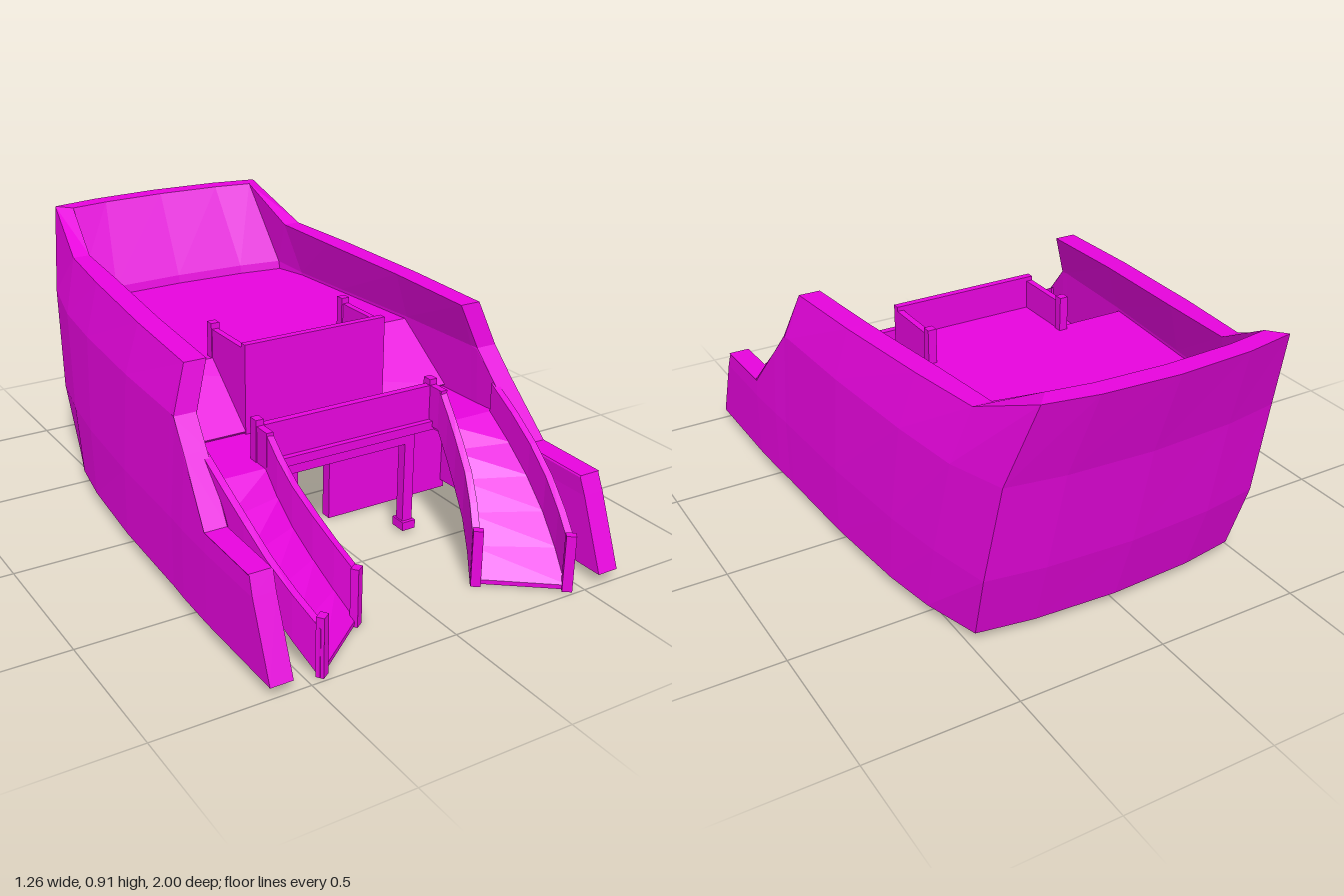
import * as THREE from 'three';

const paint = new THREE.MeshStandardMaterial({ color: 0xea04e0, side: THREE.DoubleSide, flatShading: true });
paint.name = 'magenta';

// Skin a row of equal closed cross-sections and cap both ends.
function loft(rings) {
  const pos = [], n = rings[0].length;
  const quad = (a, b, c, d) => pos.push(...a, ...b, ...c, ...a, ...c, ...d);
  for (let k = 0; k < rings.length - 1; k++)
    for (let i = 0; i < n; i++) {
      const j = (i + 1) % n;
      quad(rings[k][i], rings[k][j], rings[k + 1][j], rings[k + 1][i]);
    }
  const first = rings[0], last = rings[rings.length - 1];
  for (let i = 0; i < n / 2 - 1; i++) {
    const o = n - 1 - i;
    quad(first[i], first[o], first[o - 1], first[i + 1]);
    quad(last[i], last[i + 1], last[o - 1], last[o]);
  }
  // Turn the faces outward if the enclosed volume is negative.
  let volume = 0;
  const v = (i) => new THREE.Vector3(pos[i], pos[i + 1], pos[i + 2]);
  for (let i = 0; i < pos.length; i += 9) volume += v(i).dot(v(i + 3).cross(v(i + 6)));
  if (volume < 0)
    for (let i = 0; i < pos.length; i += 9)
      for (let k = 3; k < 6; k++) [pos[i + k], pos[i + k + 3]] = [pos[i + k + 3], pos[i + k]];
  const g = new THREE.BufferGeometry();
  g.setAttribute('position', new THREE.Float32BufferAttribute(pos, 3));
  g.computeVertexNormals();
  return g;
}

// Hull: U-shaped wall from one bow-side end, round the stern, to the other.
function hullGeometry() {
  // z at the rail, rail height, half width low down, half width at the rail, forward lean
  const stations = [
    [0.88, 0.33, 0.632, 0.632, 0.4], [0.62, 0.335, 0.63, 0.63, 0], [0.46, 0.51, 0.624, 0.608, 0],
    [0.38, 0.6, 0.618, 0.6, 0], [0.35, 0.75, 0.617, 0.547, 0], [0, 0.765, 0.602, 0.532, 0],
    [-0.4, 0.78, 0.572, 0.5, 0.1], [-0.68, 0.79, 0.54, 0.468, 0.22],
  ];
  const side = stations.map(([z, top, w, rail, lean], k) => {
    const high = Math.min(0.6, top - 0.005);
    const ys = [0.035, 0.27, high, top];
    const xs = [w, w, w - (high - 0.27) * 0.06, rail];
    const outer = ys.map((y, i) => [xs[i], y, z + (top - y) * lean]);
    const inner = outer.map(([x, y, pz]) => [x - (k < 7 ? 0.075 : 0.062), y, pz]);
    return [...outer, ...inner.reverse()];
  });
  // Stern sections, one point per level
  const levels = [0.03, 0.27, 0.62, 0.91], sternZ = [-0.75, -0.825, -0.9, -1];
  const cornerX = [0.478, 0.492, 0.474, 0.42], depth = [0.1, 0.105, 0.108, 0.07];
  const stern = (f, dz, inset) => {
    const outer = levels.map((y, i) => [cornerX[i] * f, y, sternZ[i] + dz]);
    const inner = outer.map(([x, y, z], i) => [x - inset, y, z + depth[i] - dz * 0.3]);
    return [...outer, ...inner.reverse()];
  };
  const half = [...side, stern(1, 0.046, 0.048), stern(0.6, 0.015, 0.02)];
  const mirrored = half.map((r) => r.map(([x, y, z]) => [-x, y, z])).reverse();
  return loft([...half, stern(0, 0, 0), ...mirrored]);
}

// Symmetric horizontal slab from a half outline of [x, z].
function slabGeometry(outline, y0, y1) {
  const pts = [...outline, ...outline.map(([x, z]) => [-x, z]).reverse()];
  const shape = new THREE.Shape(pts.map(([x, z]) => new THREE.Vector2(x, -z)));
  return new THREE.ExtrudeGeometry(shape, { depth: y1 - y0, bevelEnabled: false })
    .rotateX(-Math.PI / 2).translate(0, y0, 0);
}

export function createModel() {
  const model = new THREE.Group();
  model.name = 'shipStern';
  const add = (name, geometry, parent = model) => {
    const mesh = new THREE.Mesh(geometry, paint);
    mesh.name = name;
    parent.add(mesh);
    return mesh;
  };
  const box = (name, x0, x1, y0, y1, z0, z1, parent) =>
    add(name, new THREE.BoxGeometry(Math.abs(x1 - x0), y1 - y0, z1 - z0)
      .translate((x0 + x1) / 2, (y0 + y1) / 2, (z0 + z1) / 2), parent);

  add('hull', hullGeometry());

  // Decks: upper deck, front platform and the full-width ramp joining them
  add('upperDeck', slabGeometry(
    [[0.265, 0.2], [0.265, -0.01], [0.53, -0.01], [0.51, -0.35], [0.46, -0.68], [0.435, -0.79], [0, -0.82]], 0.56, 0.59));
  add('platform', slabGeometry([[0.32, 0.43], [0.32, 0.46], [0.55, 0.46], [0.55, 0.16]], 0.37, 0.4));
  add('upperRamp', loft([-0.535, 0.535].map((x) => [
    [x, 0.56, -0.05], [x, 0.59, -0.01], [x, 0.41, 0.21], [x, 0.37, 0.17]])));

  // Bulkhead with arched doorway
  const wall = new THREE.Shape();
  wall.moveTo(-0.55, 0.005);
  wall.lineTo(-0.062, 0.005);
  wall.lineTo(-0.062, 0.247);
  wall.absarc(0, 0.247, 0.062, Math.PI, 0, true);
  wall.lineTo(0.062, 0.005);
  wall.lineTo(0.55, 0.005);
  wall.lineTo(0.55, 0.38);
  wall.lineTo(-0.55, 0.38);
  add('bulkhead', new THREE.ExtrudeGeometry(wall, { depth: 0.04, bevelEnabled: false, curveSegments: 12 })
    .translate(0, 0, 0.16));

  // Upper deck front wall and lower platform railing
  box('upperFrontWall', -0.265, 0.265, 0.4, 0.705, 0.185, 0.21);
  box('platformRailing', -0.32, 0.32, 0.37, 0.52, 0.385, 0.41);
  box('platformBeam', -0.26, 0.26, 0.33, 0.37, 0.37, 0.41);

  for (const s of [1, -1]) {
    const half = new THREE.Group();
    half.name = s > 0 ? 'leftStairs' : 'rightStairs';
    model.add(half);
    const part = (name, x0, x1, ...rest) => box(name, s * x0, s * x1, ...rest, half);

    // Side rail beside the upper ramp
    part('upperSideRail', 0.243, 0.265, 0.56, 0.69, -0.02, 0.2);
    add('upperRampCheek', loft([0.243, 0.265].map((x) => [
      [s * x, 0.57, -0.01], [s * x, 0.59, -0.01], [s * x, 0.59, 0.2], [s * x, 0.4, 0.2]])), half);
    part('upperRailPost', 0.238, 0.268, 0.57, 0.71, -0.04, -0.01);

    // Columns and railing posts under and on the platform
    part('column', 0.222, 0.26, 0.02, 0.35, 0.372, 0.408);
    part('columnFoot', 0.216, 0.266, 0.015, 0.045, 0.36, 0.42);
    part('platformPost', 0.312, 0.34, 0.37, 0.54, 0.375, 0.41);

    // Curved lower stairs
    const curve = (pts) => new THREE.CatmullRomCurve3(pts.map(([x, y, z]) => new THREE.Vector3(s * x, y, z)));
    const inner = curve([[0.325, 0.4, 0.46], [0.312, 0.28, 0.56], [0.275, 0.15, 0.69], [0.22, 0.02, 0.8]]);
    const outer = curve([[0.54, 0.4, 0.46], [0.53, 0.28, 0.65], [0.505, 0.15, 0.82], [0.452, 0.02, 0.98]]);
    const steps = [...Array(6).keys()].map((i) => i / 5);
    add('curvedRamp', loft(steps.map((t) => {
      const a = inner.getPoint(t), b = outer.getPoint(t);
      return [[a.x, a.y, a.z], [b.x, b.y, b.z], [b.x, b.y - 0.015, b.z], [a.x, a.y - 0.015, a.z]];
    })), half);
    const stringer = (name, path, rise) => add(name, loft(steps.map((t) => {
      const p = path.getPoint(t), d = path.getTangent(t).setY(0).normalize();
      const nx = d.z * 0.012, nz = -d.x * 0.012, top = p.y + rise + t * 0.04, low = p.y - 0.018;
      return [[p.x + nx, low, p.z + nz], [p.x + nx, top, p.z + nz], [p.x - nx, top, p.z - nz], [p.x - nx, low, p.z - nz]];
    })), half);
    stringer('innerStringer', inner, 0.12);
    stringer('outerStringer', outer, 0.1);
    part('innerHandrail', 0.313, 0.337, 0.38, 0.52, 0.4, 0.47);

    // Newel posts at the foot of the stairs
    for (const [x, z] of [[0.225, 0.802], [0.45, 0.972]]) {
      const post = add('newelPost', new THREE.BoxGeometry(0.032, 0.195, 0.026), half);
      post.position.set(s * x, 0.0975, z);
      post.rotation.y = -s * 0.6;
    }
  }
  return model;
}
